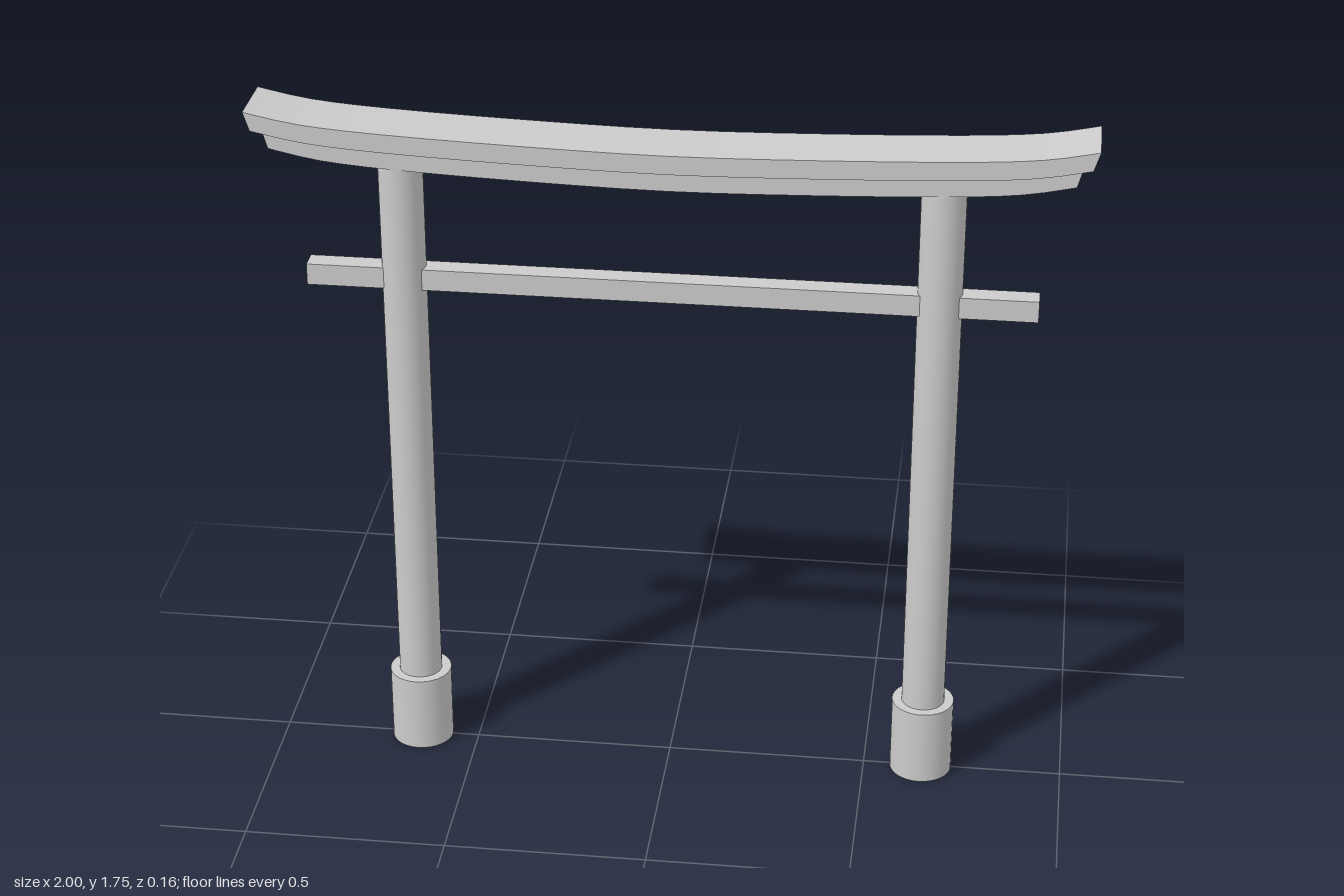
import * as THREE from 'three';

const material = new THREE.MeshStandardMaterial({ color: 0xcccccc });

function part(name, geometry, x = 0, y = 0, z = 0) {
  const mesh = new THREE.Mesh(geometry, material);
  mesh.name = name;
  mesh.position.set(x, y, z);
  return mesh;
}

// Sag line of the roof beams: gentle in the middle, upturned at the ends
const rise = new THREE.SplineCurve([
  [-1, 0.06], [-0.87, 0.035], [-0.68, 0.02], [-0.35, 0.007], [0, 0],
  [0.35, 0.007], [0.68, 0.02], [0.87, 0.035], [1, 0.06],
].map(([x, y]) => new THREE.Vector2(x, y)));

// Curved beam with slanted ends, centred on z = 0
function curvedBeam(topHalf, bottomHalf, topY, bottomY, depth) {
  const line = rise.getPoints(24);
  const top = line.map(p => new THREE.Vector2(p.x * topHalf, topY + p.y));
  const bottom = line.map(p => new THREE.Vector2(p.x * bottomHalf, bottomY + p.y));
  const shape = new THREE.Shape([...bottom, ...top.reverse()]);
  const geometry = new THREE.ExtrudeGeometry(shape, { depth, bevelEnabled: false });
  return geometry.translate(0, 0, -depth / 2);
}

export function createModel() {
  const group = new THREE.Group();
  group.name = 'gate';

  // Pillars on wider round footings
  for (const [side, s] of [['left', 1], ['right', -1]]) {
    group.add(part(side + 'Footing', new THREE.CylinderGeometry(0.078, 0.078, 0.2, 32), s * 0.645, 0.1));
    group.add(part(side + 'Pillar', new THREE.CylinderGeometry(0.054, 0.054, 1.42, 32), s * 0.645, 0.9));
  }

  // Straight tie beam through both pillars
  group.add(part('tieBeam', new THREE.BoxGeometry(1.76, 0.054, 0.054), 0, 1.313));

  // Two stacked curved beams
  group.add(part('lowerLintel', curvedBeam(0.965, 0.95, 1.643, 1.59, 0.11)));
  group.add(part('upperLintel', curvedBeam(1, 0.985, 1.69, 1.643, 0.16)));

  return group;
}
